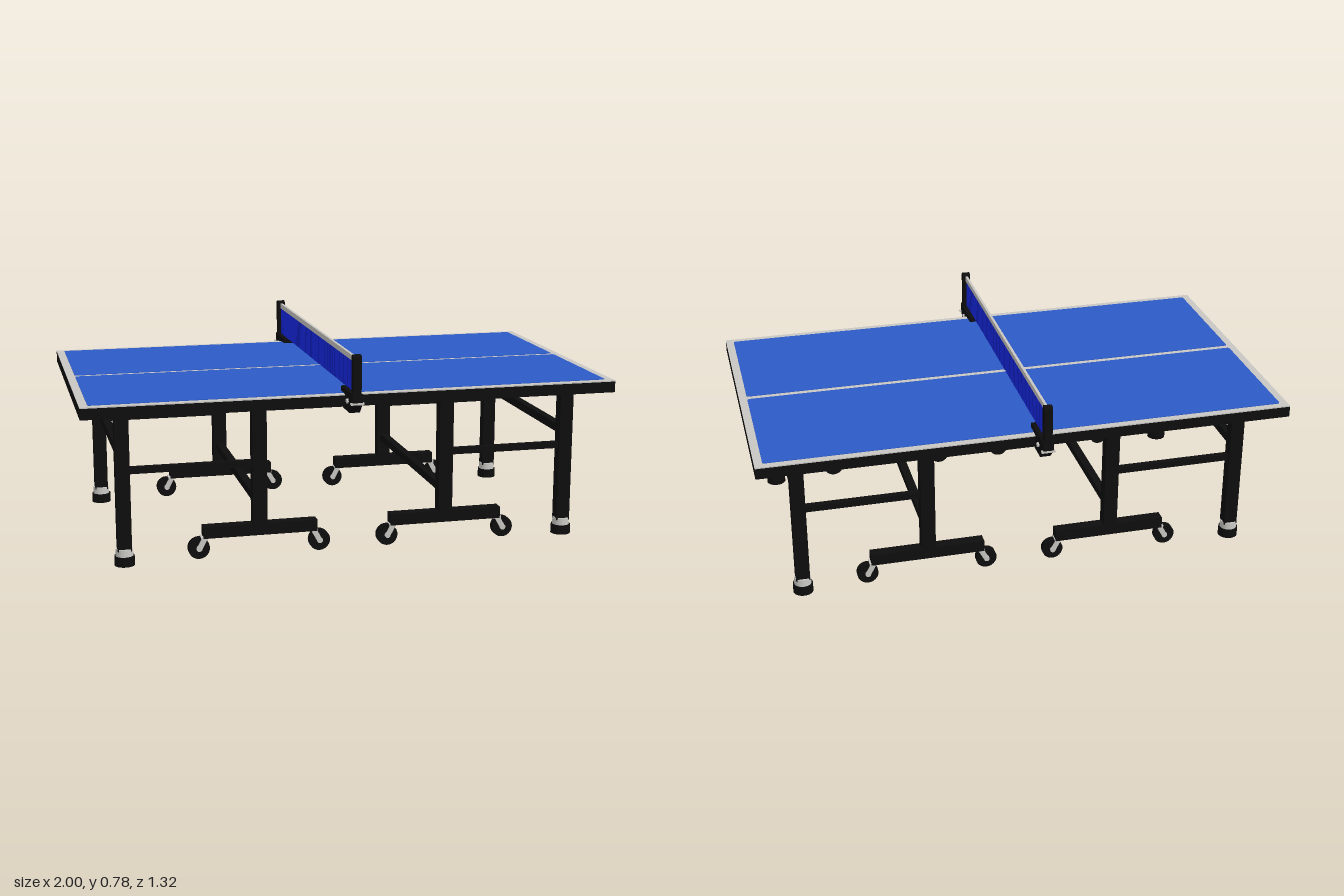
import * as THREE from 'three';

const mat = (name, color) => {
  const m = new THREE.MeshStandardMaterial({ color });
  m.name = name;
  return m;
};

export function createModel() {
  const black = mat('black', 0x0d0d0d);
  const blue = mat('table blue', 0x2c5ac6);
  const grey = mat('light grey', 0xc8c6c2);
  const netBlue = mat('net blue', 0x1222cc);

  const model = new THREE.Group();
  model.name = 'tableTennisTable';

  const add = (name, geo, material, x = 0, y = 0, z = 0, parent = model) => {
    const mesh = new THREE.Mesh(geo, material);
    mesh.name = name;
    mesh.position.set(x, y, z);
    parent.add(mesh);
    return mesh;
  };
  // box given by its limits on each axis
  const box = (name, material, [x0, x1], [y0, y1], [z0, z1], parent = model) =>
    add(name, new THREE.BoxGeometry(x1 - x0, y1 - y0, z1 - z0), material,
      (x0 + x1) / 2, (y0 + y1) / 2, (z0 + z1) / 2, parent);
  // side profile in (z, y), extruded along x about its own centre
  const profile = (points, width) => {
    const shape = new THREE.Shape(points.map(([z, y]) => new THREE.Vector2(z, y)));
    return new THREE.ExtrudeGeometry(shape, { depth: width, bevelEnabled: false })
      .translate(0, 0, -width / 2).rotateY(-Math.PI / 2);
  };

  // table top: black slab, light border sheet, two blue playing panels
  box('tableSlab', black, [-1, 1], [0.573, 0.614], [-0.555, 0.555]);
  box('borderLines', grey, [-1, 1], [0.614, 0.618], [-0.555, 0.555]);
  const panel = (z0, z1) => {
    const r = 0.01, x = 0.97, s = new THREE.Shape();
    s.moveTo(-x + r, z0);
    s.lineTo(x - r, z0); s.quadraticCurveTo(x, z0, x, z0 + r);
    s.lineTo(x, z1 - r); s.quadraticCurveTo(x, z1, x - r, z1);
    s.lineTo(-x + r, z1); s.quadraticCurveTo(-x, z1, -x, z1 - r);
    s.lineTo(-x, z0 + r); s.quadraticCurveTo(-x, z0, -x + r, z0);
    const geo = new THREE.ExtrudeGeometry(s, { depth: 0.003, bevelEnabled: false, curveSegments: 4 });
    add('playingPanel', geo.rotateX(-Math.PI / 2), blue, 0, 0.617, 0);
  };
  panel(0.012, 0.528);
  panel(-0.528, -0.012);

  // caster: stem and fork in grey, black wheel with grey hub
  const caster = (x, z, toBar) => {
    const g = new THREE.Group();
    g.name = 'caster';
    g.position.set(x, 0.044, z);
    model.add(g);
    const wheel = new THREE.CylinderGeometry(0.04, 0.04, 0.026, 24).rotateX(Math.PI / 2);
    add('wheel', wheel, black, 0, 0, 0, g);
    add('hub', new THREE.CylinderGeometry(0.011, 0.011, 0.042, 12).rotateX(Math.PI / 2), grey, 0, 0, 0, g);
    for (const s of [-1, 1]) {
      const arm = box('forkArm', grey, [-0.01, 0.01], [-0.004, 0.046], [s * 0.017 - 0.002, s * 0.017 + 0.002], g);
      arm.position.x = toBar * 0.012;
      arm.rotation.z = -toBar * 0.5;
    }
    box('forkCrown', grey, [toBar * 0.025 - 0.018, toBar * 0.025 + 0.018], [0.036, 0.044], [-0.019, 0.019], g);
  };

  // leg frames: one on each half of the table
  const legZ = [0.442, -0.417];
  const frames = [
    { outer: -0.848, inner: -0.347, bar: [-0.56, -0.13], wheels: [-0.575, -0.12] },
    { outer: 0.847, inner: 0.368, bar: [0.153, 0.588], wheels: [0.143, 0.602] },
  ];
  for (const f of frames) {
    for (const z of legZ) {
      const zs = [z - 0.022, z + 0.022];
      box('outerLeg', black, [f.outer - 0.026, f.outer + 0.026], [0.055, 0.575], zs);
      add('legCollar', new THREE.CylinderGeometry(0.031, 0.033, 0.03, 24), grey, f.outer, 0.048, z);
      add('levellingFoot', new THREE.CylinderGeometry(0.037, 0.038, 0.036, 24), black, f.outer, 0.018, z);
      box('innerLeg', black, [f.inner - 0.027, f.inner + 0.027], [0.12, 0.575], zs);
      box('wheelBar', black, f.bar, [0.082, 0.126], zs);
      const [a, b] = [f.outer, f.inner].sort((p, q) => p - q);
      box('sideRail', black, [a, b], [0.342, 0.366], [z - 0.012, z + 0.012]);
      caster(f.wheels[0], z, 1);
      caster(f.wheels[1], z, -1);
    }
    box('outerCrossbar', black, [f.outer - 0.015, f.outer + 0.015], [0.394, 0.426], [legZ[1], legZ[0]]);
    box('innerCrossbar', black, [f.inner - 0.015, f.inner + 0.015], [0.193, 0.223], [legZ[1], legZ[0]]);
  }

  // net: tape along the top, upright strands and fine cross strands
  const net = new THREE.Group();
  net.name = 'net';
  net.position.x = -0.03;
  model.add(net);
  box('netTape', grey, [-0.005, 0.005], [0.749, 0.769], [-0.632, 0.632], net);
  const count = 64, pitch = 1.26 / count;
  for (let i = 0; i < count; i++) {
    const z = -0.63 + (i + 0.5) * pitch;
    box('netStrand', netBlue, [-0.002, 0.002], [0.638, 0.75], [z - pitch * 0.32, z + pitch * 0.32], net);
  }
  for (let i = 0; i < 6; i++) {
    const y = 0.64 + i * 0.02;
    box('netCrossStrand', netBlue, [-0.001, 0.001], [y - 0.0012, y + 0.0012], [-0.63, 0.63], net);
  }

  // net posts and clamps on both edges
  for (const s of [1, -1]) {
    const clamp = [[0.66, 0.638], [0.49, 0.638], [0.49, 0.575], [0.525, 0.563], [0.618, 0.563], [0.66, 0.605]];
    add('netClamp', profile(clamp.map(([z, y]) => [s * z, y]), 0.038), black, 0, 0, 0, net);
    const post = [[0.628, 0.63], [0.657, 0.63], [0.657, 0.772], [0.651, 0.779], [0.634, 0.779], [0.628, 0.772]];
    add('netPost', profile(post.map(([z, y]) => [s * z, y]), 0.03), black, 0, 0, 0, net);
    add('clampBolt', new THREE.CylinderGeometry(0.009, 0.009, 0.052, 12).rotateZ(Math.PI / 2), grey, 0, 0.603, s * 0.597, net);
    box('clampPlate', grey, [-0.025, 0.025], [0.599, 0.607], [s * 0.655 - 0.006, s * 0.655 + 0.006], net);
  }

  return model;
}
